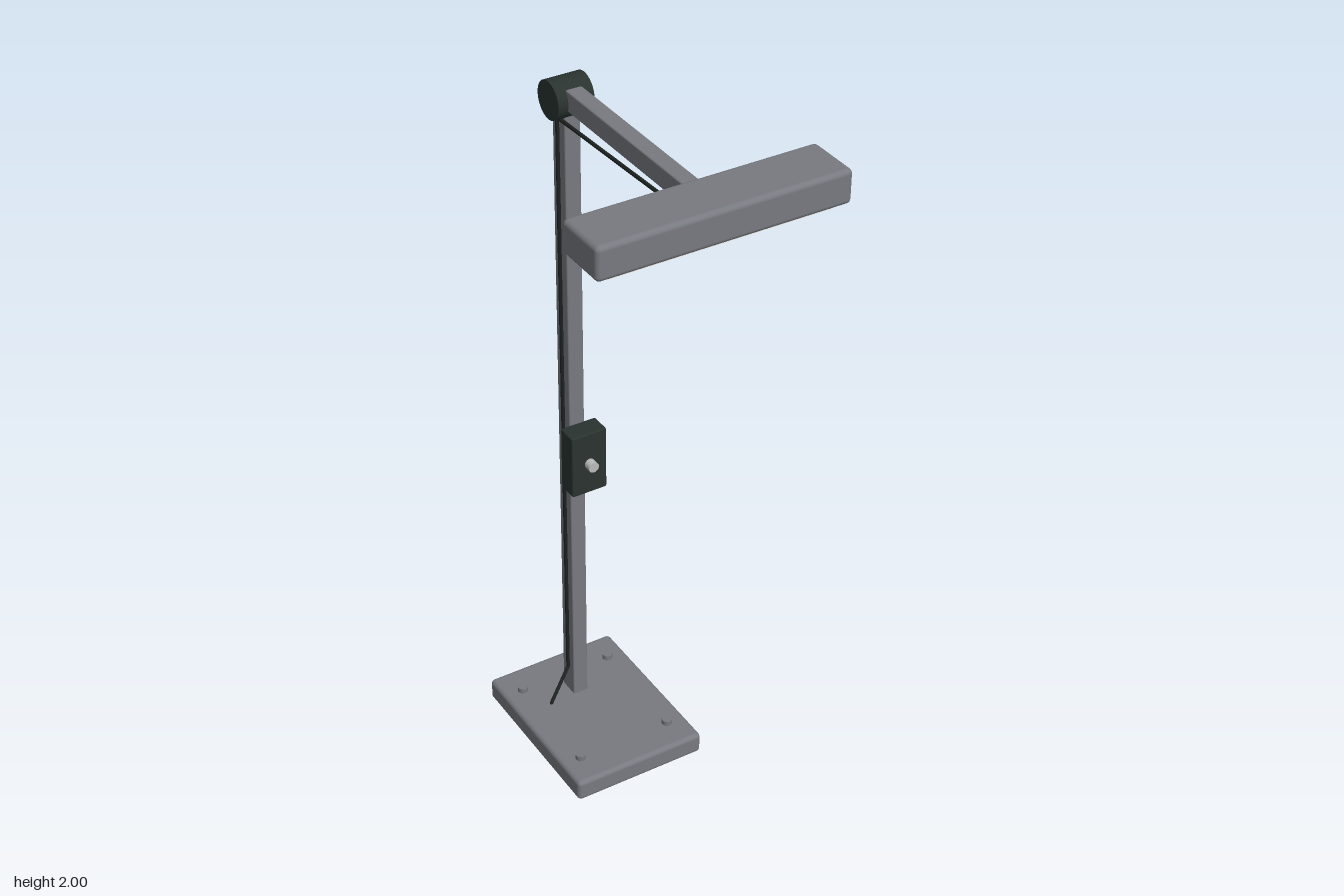
import * as THREE from 'three';
import { RoundedBoxGeometry } from 'three/addons/geometries/RoundedBoxGeometry.js';

const material = (name, color) => {
  const m = new THREE.MeshStandardMaterial({ color });
  m.name = name;
  return m;
};

export function createModel() {
  const grey = material('satin grey metal', 0x777a80);
  const dark = material('dark plastic', 0x2a3330);
  const black = material('cable black', 0x1c2221);
  const silver = material('silver knob', 0xb9bbbd);
  const glow = material('warm diffuser', 0xf0e8dc);

  const lamp = new THREE.Group();
  lamp.name = 'floorLamp';

  const add = (name, geometry, mat, x, y, z) => {
    const mesh = new THREE.Mesh(geometry, mat);
    mesh.name = name;
    mesh.position.set(x, y, z);
    lamp.add(mesh);
    return mesh;
  };
  const box = (w, h, d, r) => new RoundedBoxGeometry(w, h, d, 3, r);

  // Heavy base plate with four bolt heads
  add('base', box(0.395, 0.065, 0.508, 0.013), grey, 0, 0.0325, -0.181);
  for (const x of [-0.14, 0.14]) {
    for (const z of [-0.345, -0.017]) {
      add('bolt', new THREE.CylinderGeometry(0.0145, 0.0145, 0.02, 24), grey, x, 0.07, z);
    }
  }

  // Upright pole, pivot and horizontal arm
  const poleZ = -0.286;
  add('pole', box(0.045, 1.88, 0.06, 0.004), grey, 0, 1.0, poleZ);
  const pivot = add('pivot', new THREE.CylinderGeometry(0.051, 0.051, 0.1, 32), dark, 0, 1.949, poleZ);
  pivot.rotation.z = Math.PI / 2;
  add('arm', box(0.045, 0.055, 0.54, 0.004), grey, 0, 1.958, 0.02);

  // Lamp head with the diffuser under it
  add('head', box(0.674, 0.09, 0.153, 0.013), grey, 0, 1.95, 0.356);
  add('diffuser', new THREE.BoxGeometry(0.594, 0.014, 0.112), glow, 0, 1.902, 0.356);

  // Control box with its knob
  add('controlBox', box(0.105, 0.19, 0.06, 0.005), dark, 0, 0.91, -0.222);
  const knob = add('knob', new THREE.CylinderGeometry(0.015, 0.015, 0.024, 20), silver, 0, 0.91, -0.181);
  knob.rotation.x = Math.PI / 2;

  // Cable: under the arm, down beside the pole, out over the base
  const points = [
    [-0.034, 1.93, 0.285],
    [-0.034, 1.906, -0.272],
    [-0.034, 0.165, -0.268],
    [-0.116, 0.1, -0.221],
  ].map((p) => new THREE.Vector3(...p));
  for (let i = 0; i < points.length - 1; i++) {
    const run = new THREE.LineCurve3(points[i], points[i + 1]);
    add('cable', new THREE.TubeGeometry(run, 1, 0.005, 10), black, 0, 0, 0);
  }
  for (const p of points) {
    add('cableJoint', new THREE.SphereGeometry(0.005, 10, 8), black, p.x, p.y, p.z);
  }

  return lamp;
}
